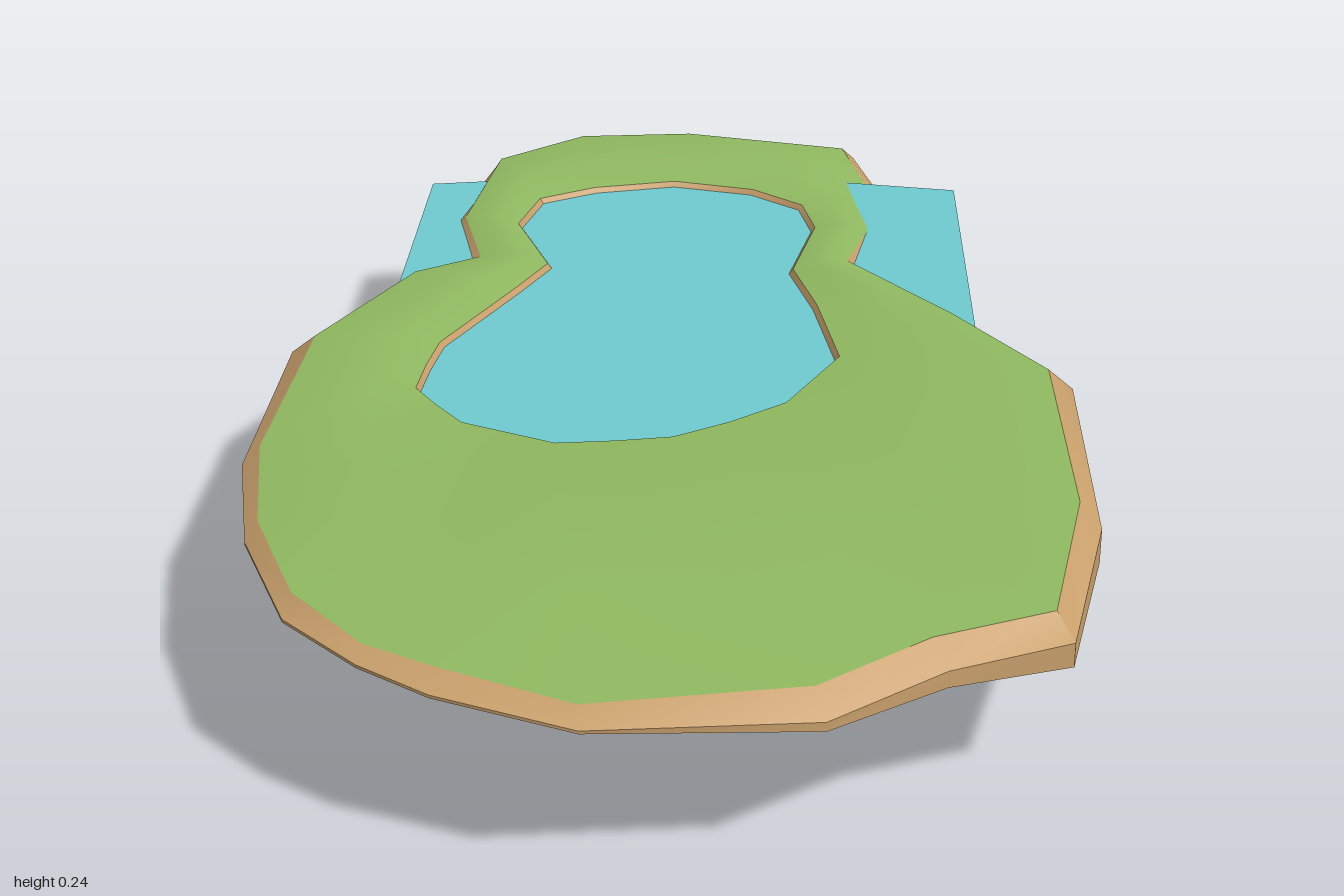
import * as THREE from 'three';
import { toCreasedNormals } from 'three/addons/utils/BufferGeometryUtils.js';

const soilMat = new THREE.MeshStandardMaterial({ color: 0xc9a06c });
soilMat.name = 'soil';
const grassMat = new THREE.MeshStandardMaterial({ color: 0x90b960 });
grassMat.name = 'grass';
const waterMat = new THREE.MeshStandardMaterial({ color: 0x6ecacf, side: THREE.DoubleSide });
waterMat.name = 'water';

// Clockwise from the back: island edge x, z, turf edge height, pond edge x, z
const OUTLINE = [
  [-0.01, -1.0, 0.225, -0.03, -0.735],
  [0.27, -0.94, 0.22, 0.1, -0.7],
  [0.33, -0.74, 0.198, 0.18, -0.63],
  [0.32, -0.56, 0.212, 0.2, -0.53],
  [0.28, -0.4, 0.222, 0.165, -0.35],
  [0.43, -0.17, 0.225, 0.2, -0.21],
  [0.555, 0.03, 0.225, 0.23, -0.02],
  [0.55, 0.47, 0.23, 0.155, 0.14],
  [0.49, 0.76, 0.23, 0.08, 0.205],
  [0.34, 0.83, 0.23, 0.005, 0.255],
  [0.2, 0.95, 0.232, -0.07, 0.27],
  [-0.07, 0.99, 0.225, -0.15, 0.28],
  [-0.24, 0.93, 0.235, -0.215, 0.25],
  [-0.33, 0.87, 0.228, -0.28, 0.22],
  [-0.43, 0.77, 0.238, -0.32, 0.165],
  [-0.51, 0.57, 0.23, -0.355, 0.11],
  [-0.555, 0.34, 0.225, -0.35, 0.03],
  [-0.555, -0.06, 0.225, -0.34, -0.05],
  [-0.44, -0.32, 0.225, -0.25, -0.26],
  [-0.35, -0.39, 0.222, -0.21, -0.36],
  [-0.39, -0.57, 0.22, -0.27, -0.53],
  [-0.34, -0.87, 0.22, -0.245, -0.645],
  [-0.2, -0.98, 0.225, -0.16, -0.7],
];
const V = (x, y, z) => new THREE.Vector3(x, y, z);

// Joins successive closed rings into one surface
function skin(rings, crease) {
  const pos = [];
  const tri = (a, b, c) => {
    if (a.distanceTo(b) < 1e-5 || b.distanceTo(c) < 1e-5 || a.distanceTo(c) < 1e-5) return;
    for (const p of [a, b, c]) pos.push(p.x, p.y, p.z);
  };
  for (let r = 0; r < rings.length - 1; r++) {
    const A = rings[r], B = rings[r + 1], n = A.length;
    for (let i = 0; i < n; i++) {
      const j = (i + 1) % n;
      tri(A[i], B[i], A[j]);
      tri(A[j], B[i], B[j]);
    }
  }
  const g = new THREE.BufferGeometry();
  g.setAttribute('position', new THREE.Float32BufferAttribute(pos, 3));
  return toCreasedNormals(g, crease);
}

// Lowest points under the head, neck and body
function keel(z) {
  if (z < -0.45) return V(-0.04, 0.003, -0.53);
  if (z < -0.35) return V(-0.04, 0.04, -0.3);
  return V(-0.04, 0.012, -0.03);
}

export function createModel() {
  const group = new THREE.Group();
  group.name = 'pondIsland';
  const add = (name, geometry, material) => {
    const mesh = new THREE.Mesh(geometry, material);
    mesh.name = name;
    group.add(mesh);
  };

  // Lower edge of the bank, tilted slightly
  const lower = OUTLINE.map(([x, z]) => V(x, 0.165 + 0.04 * z - 0.05 * x, z));
  const upper = OUTLINE.map(([x, z, h], i) => V(x, Math.max(h - 0.027, lower[i].y + 0.004), z));

  // Underside rings, curving down to the keel
  const under = [1, 0.75, 0.5, 0.25].map((t) => lower.map((p) => {
    const k = keel(p.z);
    const q = p.clone().lerp(k, t);
    q.y = k.y + (p.y - k.y) * Math.pow(1 - t, 1.6);
    return q;
  }));

  // Turf rings: outer edge, gentle swell, pond shore
  const shore = OUTLINE.map((r) => V(r[3], 0.221, r[4]));
  const turfEdge = OUTLINE.map(([x, z, h], i) => {
    const d = shore[i].clone().sub(V(x, 0.221, z)).setLength(0.035);
    return V(x + d.x, h, z + d.z);
  });
  const swell = (t, lift) => turfEdge.map((p, i) => {
    const q = p.clone().lerp(shore[i], t);
    q.y += lift + 0.015 * Math.exp(-((q.x + 0.1) ** 2 + (q.z - 0.6) ** 2) / 0.05);
    return q;
  });
  add('earthBank', skin([...under, lower, upper, turfEdge], 0.6), soilMat);
  add('grass', skin([turfEdge, swell(0.33, 0.008), swell(0.67, 0.008), shore], 0.5), grassMat);

  // Narrow earth lip around the pond
  const lip = shore.map((p) => {
    const c = V(-0.04, p.y, Math.min(Math.max(p.z, -0.55), 0.05));
    const q = p.clone().add(c.sub(p).setLength(0.012));
    q.y = 0.205;
    return q;
  });
  add('pondLip', skin([shore, lip], 0.6), soilMat);

  // Water sheet, spilling past the neck on both sides
  const sheet = new THREE.Shape([
    [-0.43, -0.3], [0.43, -0.3], [0.43, 0.73], [0.2, 0.77], [-0.2, 0.77], [-0.43, 0.73],
  ].map(([x, y]) => new THREE.Vector2(x, y)));
  add('water', new THREE.ShapeGeometry(sheet).rotateX(-Math.PI / 2).translate(0, 0.213, 0), waterMat);

  return group;
}
